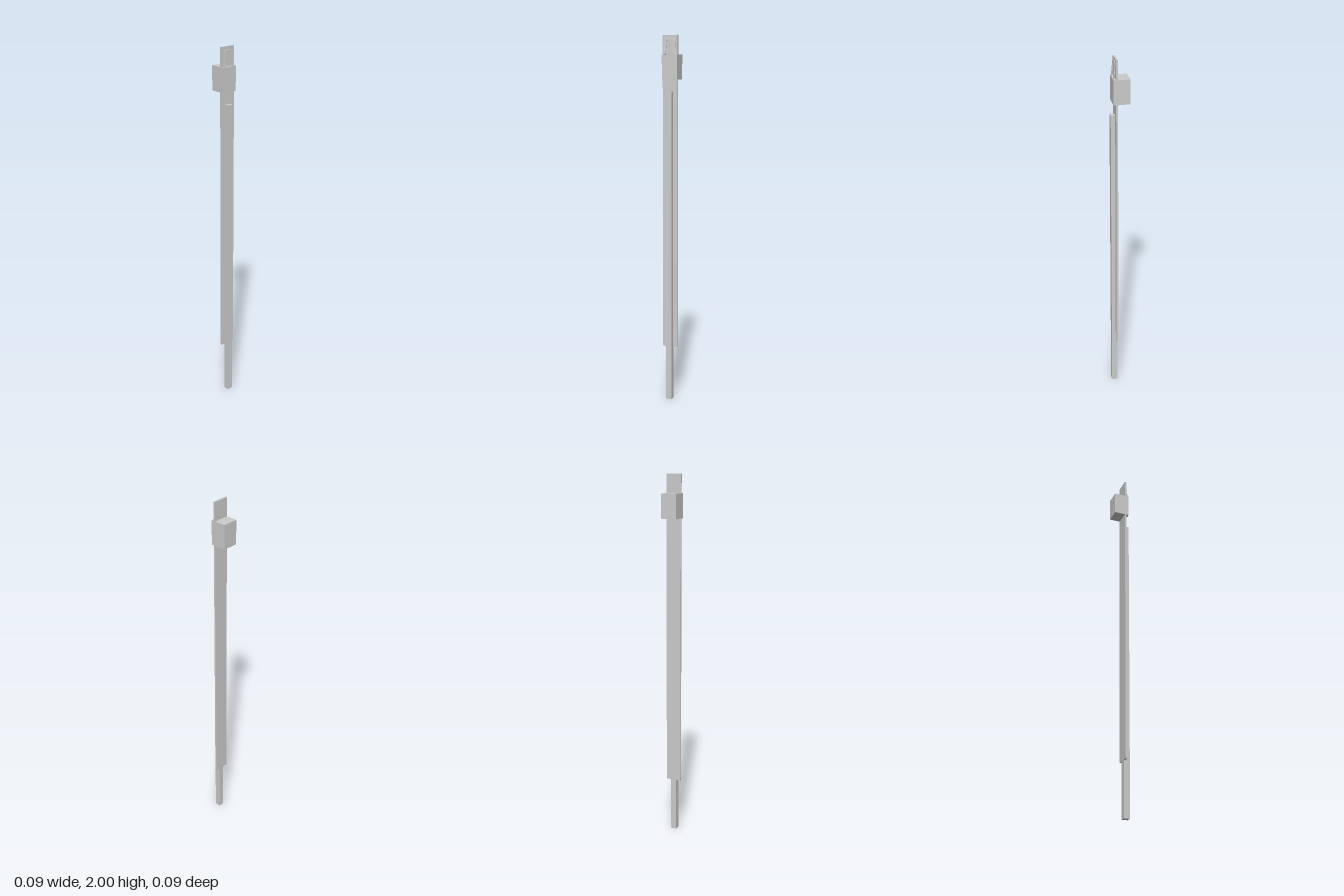
import * as THREE from 'three';

const grey = new THREE.MeshStandardMaterial({ color: 0xcccccc, flatShading: true });

// Box given by its minimum and maximum corners
function block(name, [x0, y0, z0], [x1, y1, z1]) {
  const mesh = new THREE.Mesh(new THREE.BoxGeometry(x1 - x0, y1 - y0, z1 - z0), grey);
  mesh.name = name;
  mesh.position.set((x0 + x1) / 2, (y0 + y1) / 2, (z0 + z1) / 2);
  return mesh;
}

export function createModel() {
  const model = new THREE.Group();
  model.name = 'postWithBox';

  // Square post, long backing plate and the box mounted around it
  model.add(
    block('post', [0.015, 0, -0.016], [0.047, 1.705, 0.016]),
    block('backPlate', [0.014, 0.3, -0.042], [0.024, 2, 0.042]),
    block('box', [-0.048, 1.77, -0.0425], [0.037, 1.9, 0.0425])
  );

  // Thin arched bracket leaning against the top of the plate
  const arch = new THREE.Shape();
  arch.moveTo(-0.034, 0);
  arch.lineTo(-0.028, 0.08);
  arch.quadraticCurveTo(0, 0.096, 0.028, 0.08);
  arch.lineTo(0.034, 0);
  arch.lineTo(0.022, 0);
  arch.lineTo(0.018, 0.07);
  arch.quadraticCurveTo(0, 0.082, -0.018, 0.07);
  arch.lineTo(-0.022, 0);
  arch.closePath();
  const geometry = new THREE.ExtrudeGeometry(arch, { depth: 0.004, bevelEnabled: false, curveSegments: 6 });
  geometry.rotateY(Math.PI / 2);
  geometry.rotateZ(0.08);
  const bracket = new THREE.Mesh(geometry, grey);
  bracket.name = 'archBracket';
  bracket.position.set(0.031, 1.9, 0);
  model.add(bracket);

  return model;
}
